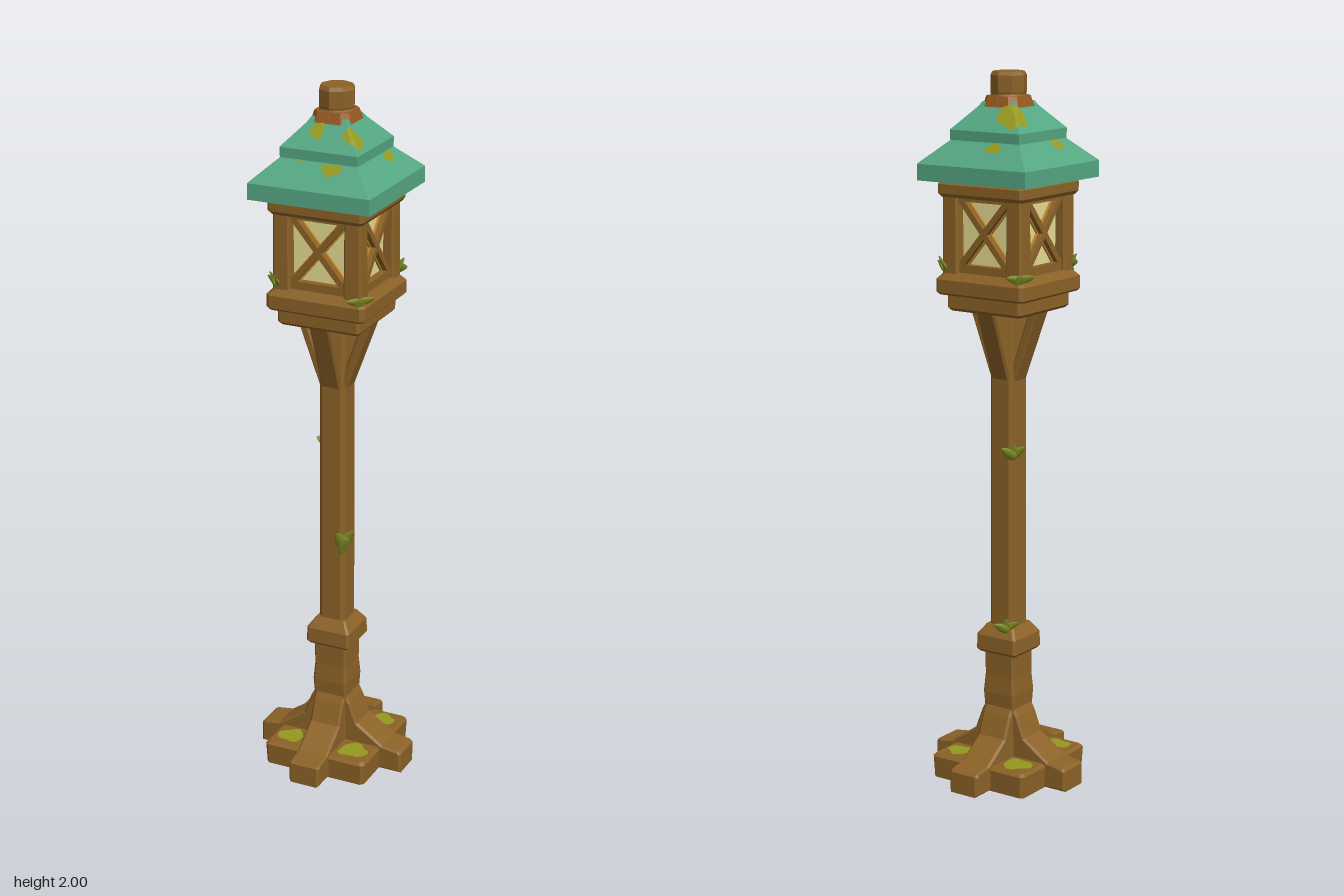
import * as THREE from 'three';

const mat = (name, color, side = THREE.FrontSide) => {
  const m = new THREE.MeshStandardMaterial({ color, side });
  m.name = name;
  return m;
};

// Stack of chamfered square rings, given as [half width, y] from bottom to top
function loft(profile, chamfer = 0.12) {
  const ring = ([h, y]) => {
    const c = h * (1 - chamfer), pts = [];
    for (let k = 0; k < 4; k++) {
      const co = Math.round(Math.cos(k * Math.PI / 2)), si = Math.round(Math.sin(k * Math.PI / 2));
      for (const t of [-c, c]) pts.push([h * co - t * si, y, -(h * si + t * co)]);
    }
    return pts;
  };
  const closed = [[0, profile[0][1]], ...profile, [0, profile[profile.length - 1][1]]];
  const pos = [];
  for (let j = 0; j < closed.length - 1; j++) {
    const a = ring(closed[j]), b = ring(closed[j + 1]);
    for (let i = 0; i < 8; i++) {
      const n = (i + 1) % 8;
      pos.push(...a[i], ...a[n], ...b[n], ...a[i], ...b[n], ...b[i]);
    }
  }
  const g = new THREE.BufferGeometry();
  g.setAttribute('position', new THREE.Float32BufferAttribute(pos, 3));
  g.computeVertexNormals();
  return g;
}

// Side profile in x and y, given a thickness in z
function slab(points, width, bevel = 0.006) {
  const shape = new THREE.Shape(points.map(p => new THREE.Vector2(...p)));
  const g = new THREE.ExtrudeGeometry(shape, {
    depth: width - 2 * bevel, bevelEnabled: true, bevelThickness: bevel,
    bevelSize: bevel, bevelOffset: -bevel, bevelSegments: 1,
  });
  return g.translate(0, 0, -width / 2 + bevel);
}

// Irregular thin patch laid over a height rule
function patch(x, z, rx, rz, height) {
  const g = new THREE.RingGeometry(0.001, 1, 18, 5).rotateX(-Math.PI / 2);
  const p = g.attributes.position;
  for (let i = 0; i < p.count; i++) {
    const a = Math.atan2(p.getZ(i), p.getX(i));
    const w = 1 + 0.14 * Math.sin(3 * a + x * 70) + 0.08 * Math.sin(5 * a + z * 90);
    const px = x + p.getX(i) * rx * w, pz = z + p.getZ(i) * rz * w;
    p.setXYZ(i, px, height(px, pz) + 0.004, pz);
  }
  g.computeVertexNormals();
  return g;
}

export function createModel() {
  const model = new THREE.Group();
  model.name = 'lampPost';
  const wood = mat('wood', 0x8c6227);
  const copper = mat('greenCopper', 0x55a883);
  const rust = mat('rust', 0x9a5a20);
  const moss = mat('moss', 0x95991f, THREE.DoubleSide);
  const leafGreen = mat('leafGreen', 0x7f8c22);
  const glass = mat('glass', 0xe6dd92);
  const amber = mat('amber', 0xc08428);

  const add = (name, geometry, material, parent = model) => {
    const m = new THREE.Mesh(geometry, material);
    m.name = name;
    parent.add(m);
    return m;
  };

  // Base and four sloping feet
  add('basePlate', loft([[0.155, 0], [0.158, 0.062], [0.15, 0.07]], 0.06), wood);
  const footShape = [[0, 0], [0.224, 0], [0.224, 0.06], [0.215, 0.068], [0.165, 0.075],
    [0.085, 0.13], [0.062, 0.19], [0.047, 0.217], [0, 0.217]];
  for (let k = 0; k < 4; k++) {
    add('foot', slab(footShape, 0.094), wood).rotation.y = k * Math.PI / 2;
  }
  for (const [x, z, r] of [[1, 1, 0.042], [-1, 1, 0.038], [1, -1, 0.036], [-1, -1, 0.042]]) {
    add('baseMoss', patch(x * 0.1, z * 0.1, r, r * 0.9, () => 0.07), moss);
  }

  // Post with thicker foot and collar
  add('lowerPost', loft([[0.052, 0.06], [0.05, 0.2], [0.053, 0.25], [0.049, 0.3], [0.05, 0.38]]), wood);
  add('collar', loft([[0.06, 0.37], [0.067, 0.378], [0.066, 0.42], [0.045, 0.45]], 0.1), wood);
  add('upperPost', loft([[0.041, 0.43], [0.039, 1.4]], 0.3), wood);

  // Braces: open at the sides, filled at front and back
  const openBrace = [[0.03, 1.15], [0.042, 1.16], [0.118, 1.365], [0.088, 1.365], [0.038, 1.22], [0.03, 1.22]];
  const filledBrace = [[0, 1.15], [0.042, 1.16], [0.118, 1.365], [0, 1.365]];
  for (let k = 0; k < 4; k++) {
    add('brace', slab(k % 2 ? filledBrace : openBrace, 0.06), wood).rotation.y = k * Math.PI / 2;
  }

  // Lantern floor, glass box and top frame
  add('supportPlate', loft([[0.115, 1.352], [0.122, 1.36], [0.122, 1.405]], 0.06), wood);
  add('lanternFloor', loft([[0.14, 1.398], [0.146, 1.404], [0.146, 1.44], [0.128, 1.46]], 0.08), wood);
  add('lanternGlass', new THREE.BoxGeometry(0.2, 0.24, 0.2).translate(0, 1.575, 0), glass);
  add('lanternTopFrame', loft([[0.134, 1.665], [0.141, 1.675], [0.141, 1.7], [0.12, 1.715]], 0.06), wood);

  // Each side of the lantern: corner post, rails and crossed bars
  for (let k = 0; k < 4; k++) {
    const side = new THREE.Group();
    side.name = 'lanternSide';
    side.rotation.y = k * Math.PI / 2;
    model.add(side);
    add('cornerPost', loft([[0.026, 1.445], [0.024, 1.68]], 0.2), wood, side).position.set(0.105, 0, 0.105);
    add('lowerRail', new THREE.BoxGeometry(0.18, 0.035, 0.025).translate(0, 1.465, 0.108), wood, side);
    add('upperRail', new THREE.BoxGeometry(0.18, 0.02, 0.025).translate(0, 1.665, 0.108), wood, side);
    for (const s of [-1, 1]) {
      const bar = add('crossBar', new THREE.BoxGeometry(0.25, 0.017, 0.014), wood, side);
      bar.position.set(0, 1.57, 0.113);
      bar.rotation.z = s * 0.87;
      const edge = add('crossBarEdge', new THREE.BoxGeometry(0.24, 0.025, 0.006), amber, side);
      edge.position.set(0, 1.57, 0.103);
      edge.rotation.z = s * 0.87;
    }
  }

  // Two-tier roof with cap
  add('lowerRoof', loft([[0.178, 1.71], [0.178, 1.755], [0.115, 1.815], [0.105, 1.83]], 0.005), copper);
  add('upperRoof', loft([[0.113, 1.815], [0.114, 1.845], [0.06, 1.905], [0.05, 1.92]], 0.005), copper);
  add('roofCollar', loft([[0.064, 1.893], [0.057, 1.912], [0.05, 1.935]], 0.35), rust);
  add('chimneyRing', new THREE.CylinderGeometry(0.048, 0.058, 0.025, 8).toNonIndexed(), wood).position.y = 1.928;
  const cap = new THREE.LatheGeometry([[0, 1.93], [0.045, 1.93], [0.05, 1.945], [0.05, 1.99], [0.044, 2], [0, 2]]
    .map(p => new THREE.Vector2(...p)), 8).toNonIndexed();
  cap.computeVertexNormals();
  add('chimneyCap', cap, wood);

  // Moss on the roof
  const roofHeight = (x, z) => {
    const m = Math.max(Math.abs(x), Math.abs(z));
    return m > 0.114 ? 1.755 + (0.178 - m) * 0.952 : 1.845 + (0.114 - Math.max(m, 0.05)) * 1.11;
  };
  const spots = [[-0.042, -0.13, 0.024, 0.012], [-0.065, -0.075, 0.042, 0.032], [0.127, -0.052, 0.012, 0.025],
    [-0.128, 0.045, 0.012, 0.025], [0.084, 0.072, 0.026, 0.026], [0.045, 0.129, 0.03, 0.013],
    [-0.02, 0.077, 0.02, 0.016], [-0.055, 0.118, 0.008, 0.003]];
  for (const [x, z, rx, rz] of spots) add('roofMoss', patch(x, z, rx, rz, roofHeight), moss);

  // Leaf sprigs: a few pointed, flattened leaves facing outward
  const leaf = new THREE.SphereGeometry(1, 7, 6);
  const lp = leaf.attributes.position;
  for (let i = 0; i < lp.count; i++) {
    const y = lp.getY(i), w = 1 - 0.35 * y;
    lp.setXYZ(i, lp.getX(i) * w, y, lp.getZ(i) * w + 0.6 * y * y);
  }
  leaf.computeVertexNormals();
  const sprig = (x, y, z, size, turn, tilts) => {
    const g = new THREE.Group();
    g.name = 'leafSprig';
    g.position.set(x, y, z);
    g.rotation.y = turn;
    model.add(g);
    tilts.forEach((t, i) => {
      const m = add('leaf', leaf, leafGreen, g);
      m.scale.set(size * 0.5, size, size * 0.22);
      m.rotation.set(0.35, 0, t);
      m.position.set(-Math.sin(t) * size * 0.6, Math.cos(t) * size * 0.3, i * 0.003);
    });
  };
  const q = Math.PI / 4;
  sprig(0.128, 1.455, 0.128, 0.026, q, [-1.3, 1.3, 2.9]);
  sprig(-0.122, 1.475, 0.125, 0.024, -q, [-1.1, 0.4, 1.3]);
  sprig(0.125, 1.475, -0.128, 0.024, 3 * q, [-1.2, 0.2, 1.2]);
  sprig(-0.126, 1.46, -0.128, 0.025, -3 * q, [-1.3, 1.3, 2.9]);
  sprig(0.037, 0.70, 0.037, 0.034, q, [-0.5, 0.5, 3]);
  sprig(-0.045, 0.955, -0.045, 0.028, -3 * q, [-0.9, 0, 0.9]);
  sprig(-0.03, 0.452, -0.058, 0.026, -3 * q, [-1, 0, 1]);

  return model;
}
